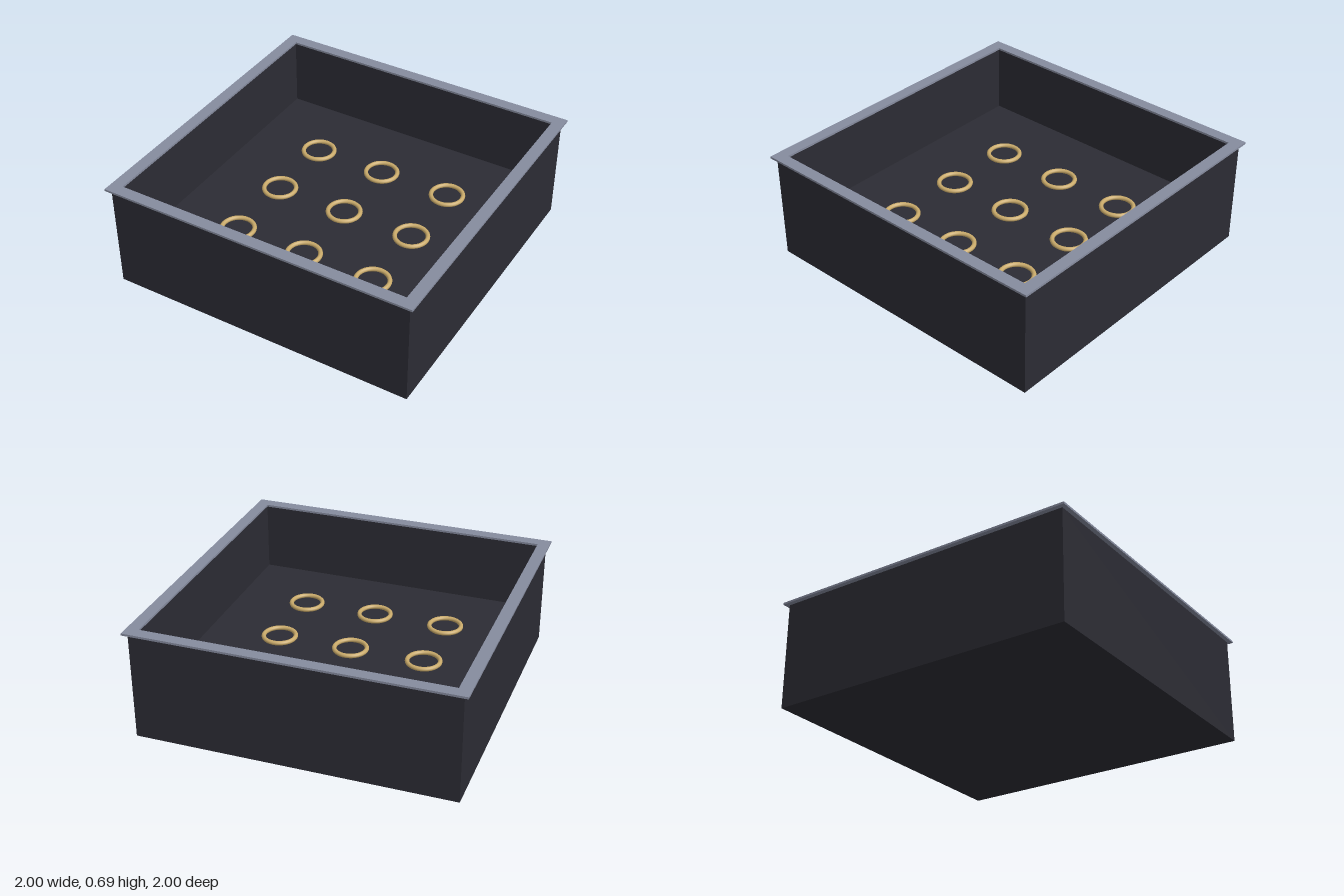
import * as THREE from 'three';

const INNER = 0.927, OUTER = 0.973, FLOOR = 0.24, RIM_Y = 0.675, TOP = 0.688;

// Square frame lying flat, from y0 up to y1
function frame(name, outer, inner, y0, y1, material) {
  const square = (h, Type) => new Type([
    new THREE.Vector2(-h, -h), new THREE.Vector2(h, -h),
    new THREE.Vector2(h, h), new THREE.Vector2(-h, h),
  ]);
  const shape = square(outer, THREE.Shape);
  shape.holes.push(square(inner, THREE.Path));
  const geometry = new THREE.ExtrudeGeometry(shape, { depth: y1 - y0, bevelEnabled: false });
  geometry.rotateX(-Math.PI / 2);
  const mesh = new THREE.Mesh(geometry, material);
  mesh.name = name;
  mesh.position.y = y0;
  return mesh;
}

export function createModel() {
  const model = new THREE.Group();
  model.name = 'openBox';
  const dark = new THREE.MeshStandardMaterial({ color: 0x2c2c34 });
  dark.name = 'darkCasing';
  const grey = new THREE.MeshStandardMaterial({ color: 0x868c9f });
  grey.name = 'greyRim';
  const gold = new THREE.MeshStandardMaterial({ color: 0xc9aa6a });
  gold.name = 'goldRing';

  // Casing walls and the flange resting on top
  model.add(frame('walls', OUTER, INNER, 0, RIM_Y, dark));
  model.add(frame('rim', 1, INNER, RIM_Y, TOP, grey));

  // Thick base with the recessed floor on top
  const base = new THREE.Mesh(new THREE.BoxGeometry(INNER * 2, FLOOR, INNER * 2), dark);
  base.name = 'base';
  base.position.y = FLOOR / 2;
  model.add(base);

  // Three by three grid of rings on the floor
  const ringGeometry = new THREE.TorusGeometry(0.1, 0.014, 12, 40);
  ringGeometry.rotateX(Math.PI / 2);
  const rings = new THREE.Group();
  rings.name = 'rings';
  for (const x of [-0.467, 0, 0.467]) {
    for (const z of [-0.467, 0, 0.467]) {
      const ring = new THREE.Mesh(ringGeometry, gold);
      ring.name = 'ring';
      ring.position.set(x, FLOOR + 0.012, z);
      rings.add(ring);
    }
  }
  model.add(rings);
  return model;
}
